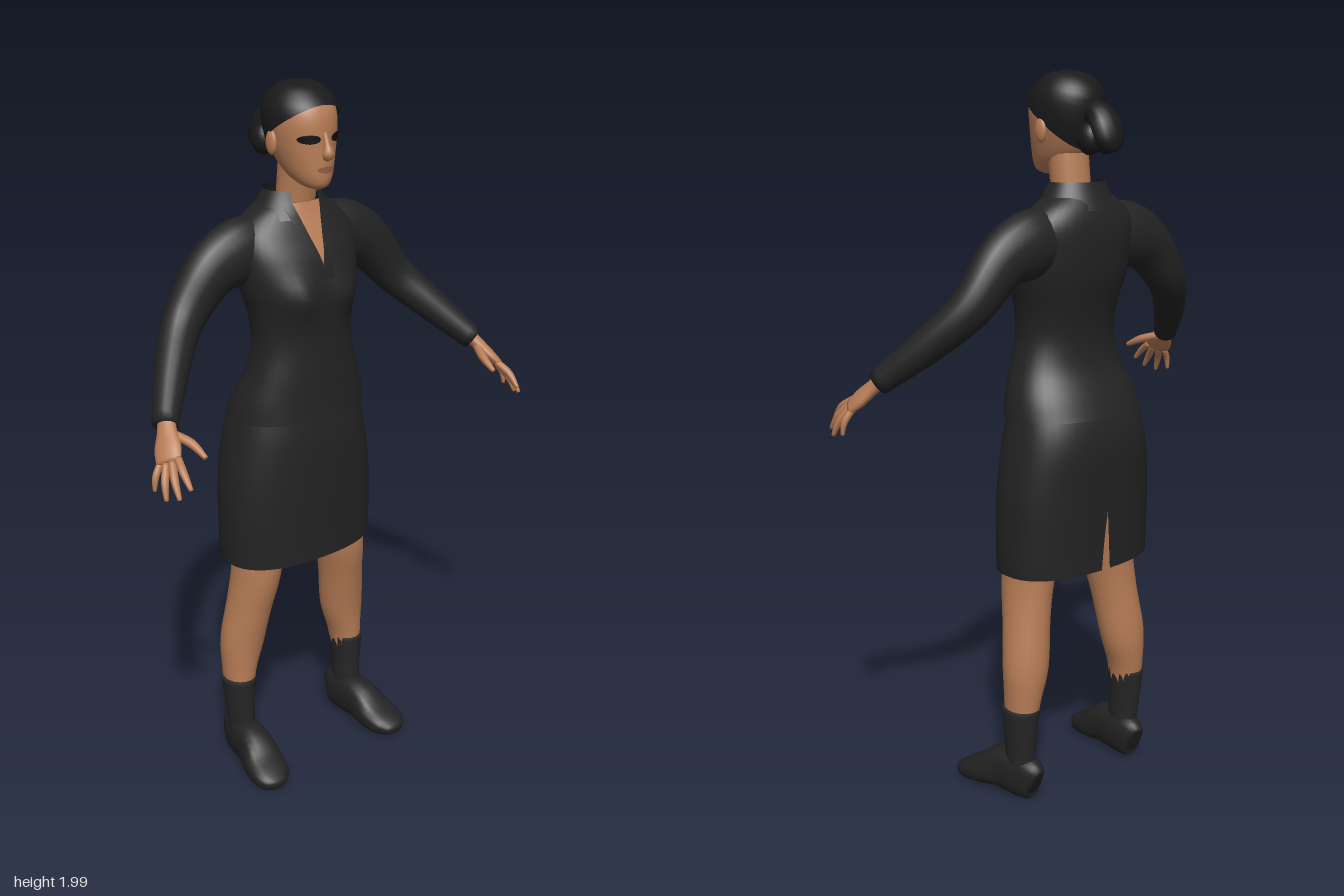
import * as THREE from 'three';
import { mergeVertices } from 'three/addons/utils/BufferGeometryUtils.js';

const mat = (name, color, side = THREE.FrontSide) => {
  const m = new THREE.MeshStandardMaterial({ color, side });
  m.name = name;
  return m;
};

// Resample control rows with a Catmull-Rom rule, k steps per span
function smooth(rows, k = 4) {
  const out = [];
  const get = i => rows[Math.max(0, Math.min(rows.length - 1, i))];
  for (let i = 0; i < rows.length - 1; i++) {
    for (let j = 0; j < k; j++) {
      const t = j / k, [a, b, c, d] = [get(i - 1), get(i), get(i + 1), get(i + 2)];
      out.push(b.map((v, n) => v + 0.5 * t * (c[n] - a[n] + t * (2 * a[n] - 5 * v + 4 * c[n] - d[n]
        + t * (3 * (v - c[n]) + d[n] - a[n])))));
    }
  }
  out.push(rows[rows.length - 1]);
  return out;
}

// Skin a list of equal-length point rows
function skin(rows) {
  const w = rows[0].length, index = [];
  for (let r = 0; r < rows.length - 1; r++) {
    for (let i = 0; i < w - 1; i++) {
      const a = r * w + i, c = a + w;
      index.push(a, a + 1, c, a + 1, c + 1, c);
    }
  }
  const g = new THREE.BufferGeometry();
  g.setAttribute('position', new THREE.Float32BufferAttribute(rows.flat(2), 3));
  g.setIndex(index);
  const m = mergeVertices(g, 1e-5);
  m.computeVertexNormals();
  return m;
}

const pow = (v, e) => Math.sign(v) * Math.abs(v) ** e;

// Upright shell from rows [y, zFront, zBack, halfWidth]
function shell(rows, { n = 40, p = 2, gap = () => 0, start = 0, bump = () => 0 } = {}) {
  return skin(rows.map(([y, zf, zb, hw]) => {
    const g = gap(y), ring = [];
    for (let i = 0; i <= n; i++) {
      const a = start + g + (2 * Math.PI - 2 * g) * i / n;
      const x = hw * pow(Math.sin(a), 2 / p);
      const z = (zf + zb) / 2 + (zf - zb) / 2 * pow(Math.cos(a), 2 / p);
      ring.push([x, y, z + bump(x, y) * Math.max(0, Math.cos(a))]);
    }
    return ring;
  }));
}

function rowAt(rows, y) {
  let i = 0;
  while (i < rows.length - 2 && rows[i + 1][0] < y) i++;
  const t = (y - rows[i][0]) / (rows[i + 1][0] - rows[i][0]);
  return rows[i].map((v, n) => v + (rows[i + 1][n] - v) * t);
}

// Thin plate lying on the front of a shell between two edges
function patch(rows, p, y0, y1, left, right, off) {
  const grid = [];
  for (let j = 0; j <= 12; j++) {
    const y = y0 + (y1 - y0) * j / 12, [, zf, zb, hw] = rowAt(rows, y), line = [];
    for (let i = 0; i <= 8; i++) {
      const x = left(y) + (right(y) - left(y)) * i / 8;
      const c = Math.max(0, 1 - Math.abs(x / hw) ** p) ** (1 / p);
      line.push([x, y, (zf + zb) / 2 + (zf - zb) / 2 * c + off]);
    }
    grid.push(line);
  }
  return skin(grid);
}

// Capped limb through rows [x, y, z, radiusA, radiusB]; radiusA lies along ref
function limb(ctrl, ref, { n = 16, k = 4, p = 2 } = {}) {
  const rows = smooth(ctrl, k), V = r => new THREE.Vector3(r[0], r[1], r[2]);
  const rings = rows.map((r, i) => {
    const T = V(rows[Math.min(i + 1, rows.length - 1)]).sub(V(rows[Math.max(i - 1, 0)])).normalize();
    const A = new THREE.Vector3(...ref);
    A.addScaledVector(T, -A.dot(T)).normalize();
    const B = T.clone().cross(A), ring = [];
    for (let j = 0; j <= n; j++) {
      const a = 2 * Math.PI * (j % n) / n;
      ring.push(V(r).addScaledVector(A, r[3] * pow(Math.cos(a), 2 / p))
        .addScaledVector(B, r[4] * pow(Math.sin(a), 2 / p)).toArray());
    }
    return ring;
  });
  const cap = r => rings[0].map(() => r.slice(0, 3));
  return skin([cap(rows[0]), ...rings, cap(rows[rows.length - 1])]);
}

export function createModel() {
  const model = new THREE.Group();
  model.name = 'woman';
  const skinMat = mat('skin', 0xb87d56);
  const suit = mat('suit cloth', 0x232323, THREE.DoubleSide);
  const sockMat = mat('sock', 0x262626);
  const shoeMat = mat('shoe leather', 0x222222);
  const hairMat = mat('hair', 0x1a1a1a, THREE.DoubleSide);
  const eyeMat = mat('eye', 0x120f0e);
  const lipMat = mat('lips', 0x945c44);
  const add = (name, geo, m, parent = model) => {
    const mesh = new THREE.Mesh(geo, m);
    mesh.name = name;
    parent.add(mesh);
    return mesh;
  };
  const ball = (name, m, pos, scale) => {
    const b = add(name, new THREE.SphereGeometry(1, 16, 12), m);
    b.position.set(...pos);
    b.scale.set(...scale);
  };

  // Skirt with a slit at the back
  const skirt = smooth([[0.675, 0.055, -0.22, 0.238], [0.76, 0.055, -0.222, 0.24], [0.9, 0.056, -0.228, 0.236],
    [1.03, 0.055, -0.232, 0.215], [1.12, 0.045, -0.21, 0.192], [1.18, 0.04, -0.17, 0.165]], 6);
  add('skirt', shell(skirt, { p: 2.4, start: Math.PI, gap: y => Math.max(0, 0.84 - y) * 0.22 }), suit);

  // Jacket body
  const jacket = smooth([[1.105, 0.064, -0.225, 0.207], [1.16, 0.06, -0.2, 0.195], [1.23, 0.058, -0.162, 0.168],
    [1.31, 0.055, -0.152, 0.147], [1.39, 0.055, -0.165, 0.152], [1.47, 0.055, -0.185, 0.172],
    [1.55, 0.038, -0.193, 0.183], [1.61, 0.008, -0.192, 0.178], [1.655, -0.015, -0.182, 0.14],
    [1.69, -0.028, -0.165, 0.085]]);
  const bust = (x, y) => 0.026 * Math.exp(-(((Math.abs(x) - 0.08) / 0.055) ** 2) - ((y - 1.45) / 0.06) ** 2);
  add('jacket', shell(jacket, { p: 2.2, bump: bust }), suit);
  add('collar', shell([[1.65, 0.0, -0.186, 0.125], [1.685, -0.018, -0.172, 0.098], [1.72, -0.03, -0.157, 0.08]],
    { gap: () => 0.5 }), suit);

  // Open neckline and lapels
  const vee = y => Math.max(0, (y - 1.53) * 0.28);
  add('neckline', patch(jacket, 2.2, 1.53, 1.69, y => -vee(y), vee, 0.005), skinMat);
  add('lapelLeft', patch(jacket, 2.2, 1.5, 1.69, vee, y => vee(y) + 0.028, 0.009), suit);
  add('lapelRight', patch(jacket, 2.2, 1.5, 1.69, y => -vee(y) - 0.028, y => -vee(y), 0.009), suit);

  // Neck and head
  add('neck', limb([[0, 1.58, -0.085, 0.06, 0.05], [0, 1.7, -0.072, 0.055, 0.051], [0, 1.82, -0.055, 0.056, 0.056]],
    [1, 0, 0]), skinMat);
  const head = smooth([[1.732, 0.03, 0.0, 0.012], [1.742, 0.049, -0.035, 0.034], [1.765, 0.056, -0.085, 0.054],
    [1.8, 0.056, -0.12, 0.069], [1.85, 0.054, -0.142, 0.083], [1.9, 0.053, -0.153, 0.09], [1.94, 0.042, -0.152, 0.086],
    [1.97, 0.015, -0.13, 0.067], [1.988, -0.015, -0.1, 0.042], [1.995, -0.054, -0.056, 0.001]]);
  add('head', shell(head), skinMat);
  add('nose', limb([[0, 1.88, 0.05, 0.006, 0.006], [0, 1.85, 0.06, 0.009, 0.01], [0, 1.828, 0.066, 0.016, 0.014],
    [0, 1.815, 0.058, 0.01, 0.008]], [1, 0, 0], { n: 12 }), skinMat);
  const lipHalf = y => 0.026 * Math.sqrt(Math.max(0, 1 - ((y - 1.788) / 0.009) ** 2));
  add('lips', patch(head, 2, 1.779, 1.797, y => -lipHalf(y), lipHalf, 0.005), lipMat);
  for (const s of [1, -1]) {
    const side = s > 0 ? 'Left' : 'Right';
    const half = y => 0.025 * Math.sqrt(Math.max(0, 1 - ((y - 1.866) / 0.012) ** 2));
    add('eye' + side, patch(head, 2, 1.854, 1.878, y => s * 0.042 - half(y), y => s * 0.042 + half(y), 0.004), eyeMat);
    ball('ear' + side, skinMat, [s * 0.09, 1.85, -0.055], [0.011, 0.032, 0.02]);
  }

  // Hair cap with a hairline that drops towards the nape
  const cap = [];
  for (let j = 0; j <= 14; j++) {
    const ring = [];
    for (let i = 0; i <= 40; i++) {
      const a = 2 * Math.PI * (i % 40) / 40, c = Math.cos(a);
      const low = c > 0 ? 1.88 + 0.068 * c : 1.88 + 0.08 * c;
      const y = low + (1.995 - low) * Math.sin(j / 14 * Math.PI / 2);
      const [, zf, zb, hw] = rowAt(head, y);
      ring.push([(hw + 0.007) * Math.sin(a) * (j < 14 ? 1 : 0), y + 0.005 * j / 14,
        (zf + zb) / 2 + ((zf - zb) / 2 + 0.007) * c * (j < 14 ? 1 : 0)]);
    }
    cap.push(ring);
  }
  add('hairCap', skin(cap), hairMat);
  add('bun', limb([[0, 1.885, -0.13, 0.025, 0.025], [0, 1.895, -0.17, 0.034, 0.032], [0, 1.865, -0.2, 0.046, 0.036],
    [0, 1.825, -0.218, 0.042, 0.03], [0, 1.8, -0.226, 0.02, 0.016]], [1, 0, 0]), hairMat);

  for (const s of [1, -1]) {
    const side = s > 0 ? 'Left' : 'Right';
    const flip = rows => rows.map(([x, ...r]) => [s * x, ...r]);
    ball('hairKnot' + side, hairMat, [s * 0.028, 1.832, -0.175], [0.032, 0.042, 0.036]);

    // Sleeve
    add('sleeve' + side, limb(flip([[0.08, 1.578, -0.1, 0.06, 0.075], [0.17, 1.567, -0.1, 0.068, 0.09],
      [0.26, 1.528, -0.098, 0.06, 0.076], [0.355, 1.42, -0.086, 0.05, 0.058], [0.44, 1.325, -0.015, 0.045, 0.047],
      [0.525, 1.228, 0.08, 0.034, 0.034]]), [0, 0, 1], { n: 20, k: 5 }), suit);

    // Hand
    const hand = new THREE.Group();
    hand.name = 'hand' + side;
    model.add(hand);
    const across = [-0.035 * s, 0.02, 0.045];
    add('palm', limb(flip([[0.515, 1.24, 0.07, 0.024, 0.02], [0.53, 1.215, 0.095, 0.027, 0.018],
      [0.548, 1.185, 0.125, 0.037, 0.017], [0.564, 1.16, 0.152, 0.034, 0.012]]), across), skinMat, hand);
    const digits = [
      ['thumb', [0.52, 1.21, 0.105], [0.497, 1.195, 0.155], [0.49, 1.172, 0.205], 0.012],
      ['indexFinger', [0.545, 1.172, 0.165], [0.555, 1.148, 0.205], [0.556, 1.115, 0.238], 0.0105],
      ['middleFinger', [0.557, 1.163, 0.158], [0.574, 1.13, 0.193], [0.58, 1.09, 0.222], 0.0105],
      ['ringFinger', [0.568, 1.157, 0.147], [0.588, 1.12, 0.17], [0.597, 1.08, 0.188], 0.01],
      ['littleFinger', [0.574, 1.155, 0.13], [0.594, 1.125, 0.137], [0.6, 1.09, 0.14], 0.009]];
    for (const [name, a, b, c, r] of digits) {
      add(name, limb(flip([[...a, r, r], [...b, r, r], [...c, r * 0.55, r * 0.55]]), across, { n: 10 }), skinMat, hand);
    }

    // Leg, sock and shoe
    add('leg' + side, limb(flip([[0.11, 0.95, -0.08, 0.085, 0.09], [0.135, 0.78, -0.07, 0.075, 0.09],
      [0.152, 0.64, -0.067, 0.066, 0.083], [0.168, 0.53, -0.08, 0.064, 0.071], [0.186, 0.4, -0.097, 0.065, 0.063],
      [0.199, 0.3, -0.097, 0.048, 0.055], [0.203, 0.2, -0.092, 0.04, 0.048]]), [1, 0, 0], { n: 20 }), skinMat);
    add('sock' + side, limb(flip([[0.203, 0.285, -0.096, 0.049, 0.057], [0.203, 0.21, -0.094, 0.042, 0.052],
      [0.201, 0.14, -0.09, 0.037, 0.049], [0.201, 0.08, -0.09, 0.036, 0.046]]), [1, 0, 0]), sockMat);
    add('shoe' + side, limb(flip([[0.192, 0.065, -0.15, 0.02, 0.04], [0.194, 0.07, -0.135, 0.036, 0.06],
      [0.199, 0.074, -0.085, 0.045, 0.066], [0.205, 0.074, -0.02, 0.05, 0.062], [0.214, 0.05, 0.04, 0.06, 0.043],
      [0.222, 0.036, 0.095, 0.056, 0.03], [0.222, 0.029, 0.125, 0.034, 0.018], [0.222, 0.027, 0.134, 0.012, 0.008]]),
    [1, 0, 0], { n: 20, p: 2.5 }), shoeMat);
  }
  return model;
}
